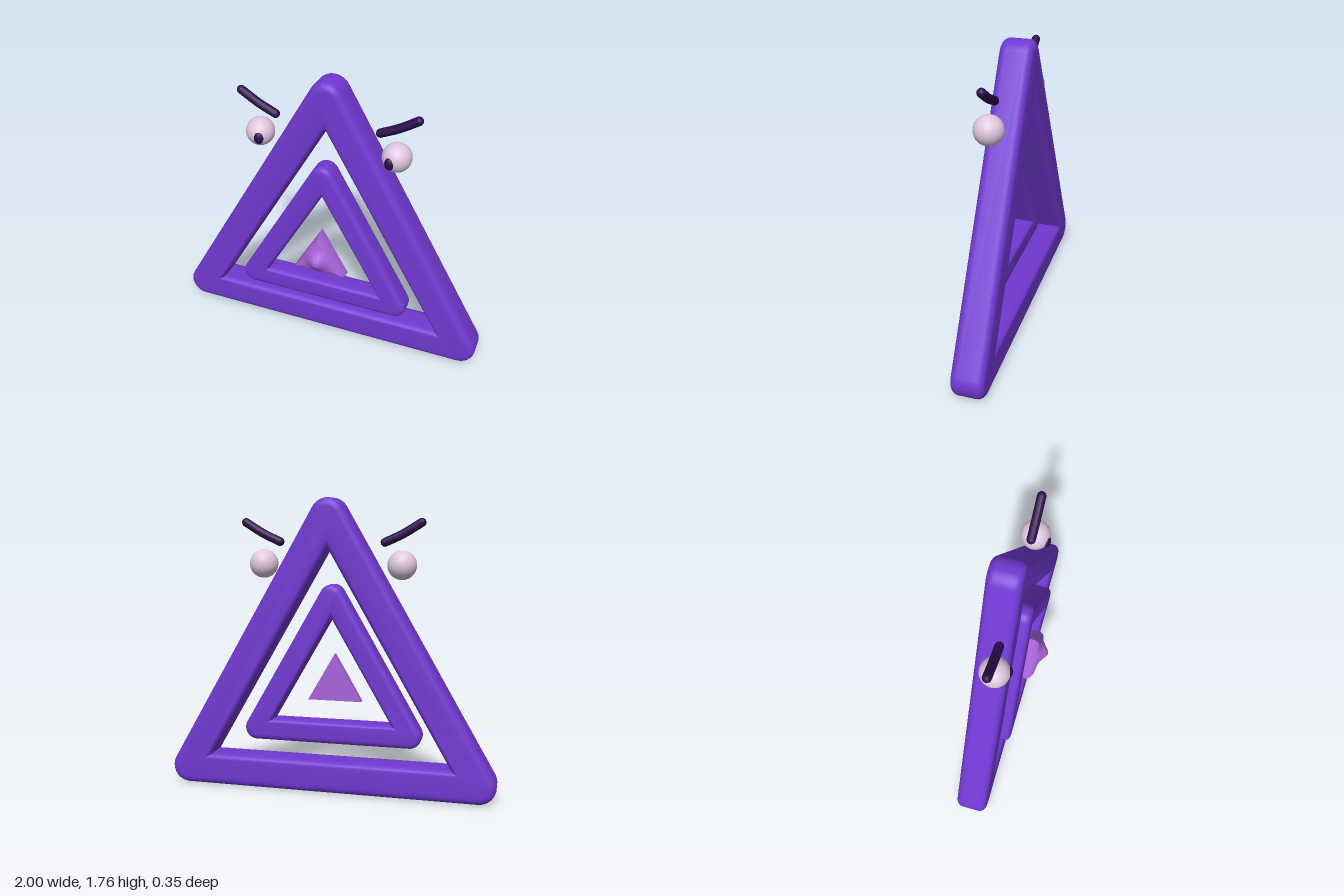
import * as THREE from 'three';
import { toCreasedNormals } from 'three/addons/utils/BufferGeometryUtils.js';

const SQ3 = Math.sqrt(3);

function material(name, color) {
  const m = new THREE.MeshStandardMaterial({ color });
  m.name = name;
  return m;
}

function addMesh(parent, name, geometry, mat, x = 0, y = 0, z = 0) {
  const mesh = new THREE.Mesh(geometry, mat);
  mesh.name = name;
  mesh.position.set(x, y, z);
  parent.add(mesh);
  return mesh;
}

// Equilateral ring with rounded outer corners; half = half the bar width
function ringGeometry(halfSide, baseY, half, depth, bevel) {
  const r = half - bevel;
  const apexY = baseY + halfSide * SQ3;
  const shape = new THREE.Shape();
  shape.absarc(halfSide, baseY, r, -Math.PI / 2, Math.PI / 6, false);
  shape.absarc(0, apexY, r, Math.PI / 6, Math.PI * 5 / 6, false);
  shape.absarc(-halfSide, baseY, r, Math.PI * 5 / 6, Math.PI * 1.5, false);
  const hole = new THREE.Path();
  hole.moveTo(halfSide - r * SQ3, baseY + r);
  hole.lineTo(-halfSide + r * SQ3, baseY + r);
  hole.lineTo(0, apexY - 2 * r);
  hole.closePath();
  shape.holes.push(hole);
  const geo = new THREE.ExtrudeGeometry(shape, {
    depth: depth - 2 * bevel, bevelEnabled: true, bevelSize: bevel,
    bevelThickness: bevel, bevelSegments: 5, curveSegments: 12,
  });
  geo.translate(0, 0, bevel - depth / 2);
  return toCreasedNormals(geo, 0.7);
}

// Triangular plate with a soft central bump, made of concentric triangles
function noseGeometry() {
  const corners = [[0.168, -0.1], [0, 0.191], [-0.168, -0.1]];
  const perSide = 16, rings = 18, n = perSide * 3;
  const positions = [], index = [];
  const addRing = (s, height) => {
    for (let i = 0; i < n; i++) {
      const a = corners[Math.floor(i / perSide)];
      const b = corners[(Math.floor(i / perSide) + 1) % 3];
      const t = (i % perSide) / perSide;
      const x = s * (a[0] + (b[0] - a[0]) * t);
      const y = s * (a[1] + (b[1] - a[1]) * t);
      positions.push(x, y, height(x, y));
    }
  };
  for (let k = 0; k <= rings; k++) {
    const s = 0.001 + 0.999 * Math.sin((k / rings) * Math.PI / 2);
    const rise = 0.045 * (1 - Math.exp(-(1 - s) / 0.12));
    addRing(s, (x, y) => 0.075 + rise + 0.053 * Math.exp(-(x * x + y * y) / 0.003));
  }
  addRing(1, () => 0.035);
  addRing(0.001, () => 0.035);
  for (let k = 0; k < rings + 2; k++) {
    for (let i = 0; i < n; i++) {
      const a = k * n + i, b = k * n + (i + 1) % n;
      index.push(a, a + n, b + n, a, b + n, b);
    }
  }
  const geo = new THREE.BufferGeometry();
  geo.setAttribute('position', new THREE.Float32BufferAttribute(positions, 3));
  geo.setIndex(index);
  return toCreasedNormals(geo, 0.7);
}

export function createModel() {
  const model = new THREE.Group();
  model.name = 'triangleFace';
  const purple = material('purple', 0x7038d0);
  const orchid = material('orchid', 0xa862d8);
  const paleLilac = material('paleLilac', 0xdfc8e0);
  const darkPlum = material('darkPlum', 0x2c0c4c);

  // Nested triangular rings and the nose
  addMesh(model, 'outerRing', ringGeometry(0.895, 0.105, 0.105, 0.195, 0.045), purple, 0, 0, -0.0775);
  addMesh(model, 'innerRing', ringGeometry(0.477, 0.353, 0.073, 0.14, 0.035), purple, 0, 0, -0.005);
  addMesh(model, 'nose', noseGeometry(), orchid, 0, 0.63, 0);

  // Floating eyes and slanted brows
  for (const [side, s] of [['left', 1], ['right', -1]]) {
    addMesh(model, side + 'Eye', new THREE.SphereGeometry(0.086, 32, 24), paleLilac, s * 0.42, 1.372, -0.033);
    const pupil = addMesh(model, side + 'Pupil', new THREE.SphereGeometry(1, 20, 14), darkPlum, s * 0.399, 1.363, 0.04);
    pupil.scale.set(0.03, 0.038, 0.022);

    const brow = new THREE.Group();
    brow.name = side + 'Brow';
    model.add(brow);
    const points = [[0.318, 1.503], [0.425, 1.553], [0.53, 1.617]]
      .map(([x, y]) => new THREE.Vector3(s * x, y, -0.033));
    const curve = new THREE.CatmullRomCurve3(points);
    addMesh(brow, 'browBar', new THREE.TubeGeometry(curve, 12, 0.026, 14), darkPlum);
    for (const p of [points[0], points[2]]) {
      addMesh(brow, 'browTip', new THREE.SphereGeometry(0.026, 14, 10), darkPlum, p.x, p.y, p.z);
    }
  }
  return model;
}
